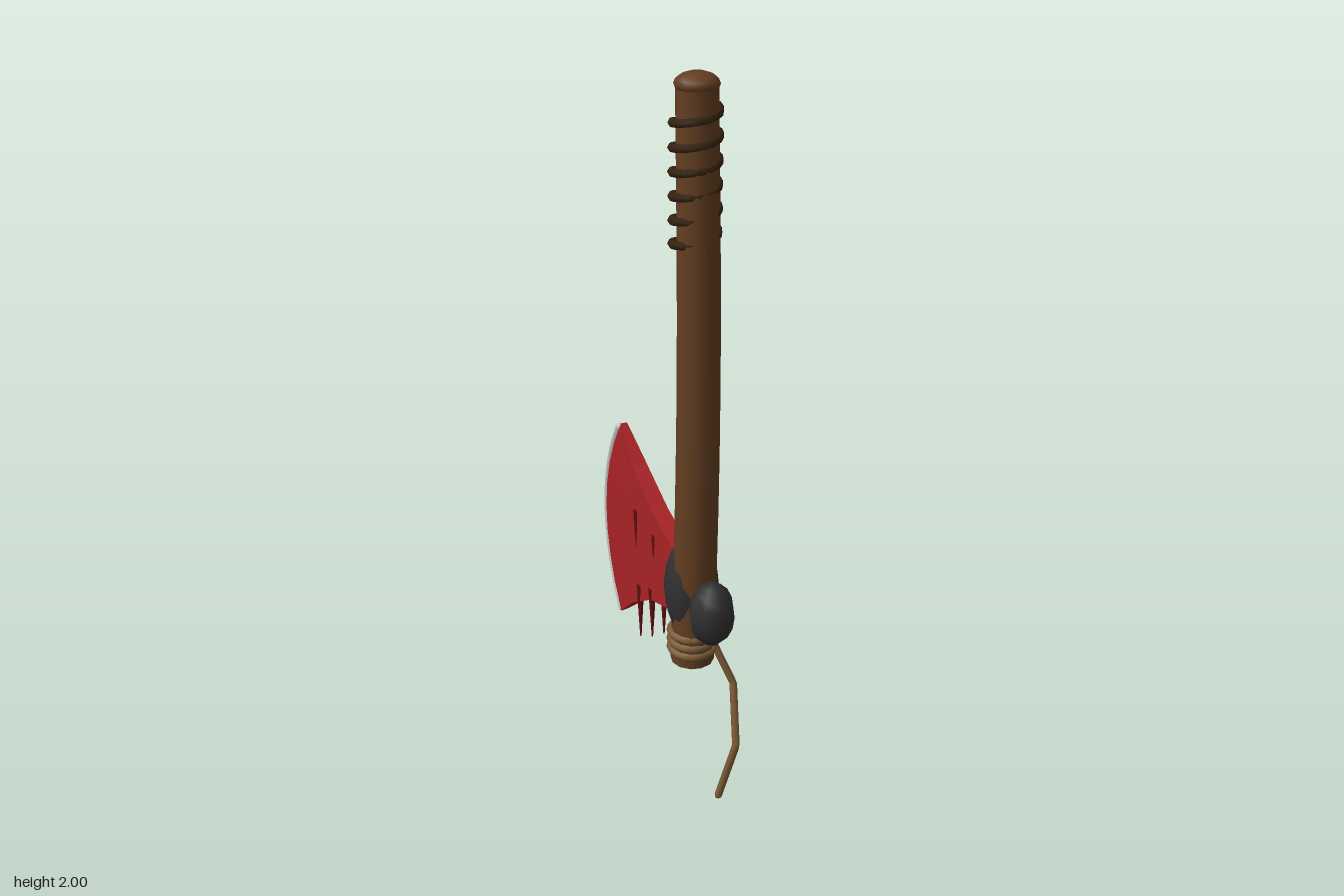
import * as THREE from 'three';

const CX = -0.022; // shared centre line of the axe
const mat = (name, color) => Object.assign(new THREE.MeshStandardMaterial({ color }), { name });

export function createModel() {
  const axe = new THREE.Group();
  axe.name = 'axe';
  const wood = mat('wood', 0x633e21);
  const cord = mat('dark cord', 0x35230f);
  const iron = mat('dark iron', 0x303032);
  const red = mat('red paint', 0xa82226);
  const drip = mat('dark red', 0x640d10);
  const steel = mat('steel', 0xc4c2be);
  const rope = mat('rope', 0x7d5b36);

  const add = (name, geo, material, x = 0, y = 0, z = 0) => {
    const m = new THREE.Mesh(geo, material);
    m.name = name;
    m.position.set(x, y, z);
    axe.add(m);
    return m;
  };
  const ball = (name, material, sides, pos, size) =>
    add(name, new THREE.SphereGeometry(1, sides, 8), material, ...pos).scale.set(...size);
  // Tube along a curve, with its two ends closed by small balls
  const cable = (name, curve, segments, radius, sides, material) => {
    add(name, new THREE.TubeGeometry(curve, segments, radius, sides), material);
    for (const t of [0, 1]) {
      const p = curve.getPoint(t);
      ball(name + 'End', material, sides, [p.x, p.y, p.z], [radius, radius, radius]);
    }
  };

  // Handle: tapered cylinder bowed gently forward
  const handle = new THREE.CylinderGeometry(0.05, 0.058, 1.54, 12, 14);
  const hp = handle.attributes.position;
  for (let i = 0; i < hp.count; i++) {
    const t = hp.getY(i) / 1.54 + 0.5;
    hp.setZ(i, hp.getZ(i) + 0.022 * Math.sin(Math.PI * t));
  }
  add('handle', handle, wood, CX, 1.2, 0.2);
  ball('handleKnob', wood, 12, [CX, 1.972, 0.2], [0.054, 0.028, 0.054]);

  // Grip cord: six turns winding down the top of the handle
  const turns = [];
  for (let i = 0; i <= 72; i++) {
    const a = (i / 12) * Math.PI * 2;
    turns.push(new THREE.Vector3(
      CX + 0.055 * Math.cos(a), 1.915 - 0.347 * (i / 72), 0.196 + 0.055 * Math.sin(a)));
  }
  cable('gripCord', new THREE.CatmullRomCurve3(turns), 100, 0.011, 6, cord);

  // Iron collar and hammer poll
  ball('collar', iron, 10, [CX, 0.645, 0.192], [0.074, 0.15, 0.074]);
  ball('poll', iron, 8, [CX, 0.63, 0.31], [0.062, 0.09, 0.06]);

  // Rope binding and its loose strand
  for (const y of [0.518, 0.492, 0.466]) {
    const ring = add('ropeRing', new THREE.TorusGeometry(0.056, 0.0125, 6, 16), rope, CX, y, 0.198);
    ring.rotation.x = Math.PI / 2;
  }
  const knots = [[0.035, 0.475, 0.195], [0.083, 0.34, 0.24], [0.062, 0.18, 0.302], [0.021, 0.012, 0.282]]
    .map((p) => new THREE.Vector3(...p));
  const strand = new THREE.CurvePath();
  for (let i = 0; i < 3; i++) strand.add(new THREE.LineCurve3(knots[i], knots[i + 1]));
  cable('looseStrand', strand, 36, 0.0105, 6, rope);

  add('blade', bladeGeometry(), red, CX);

  // Steel cutting edge
  const edge = [];
  for (let i = 0; i <= 8; i++) {
    const v = i / 4 - 1;
    edge.push(new THREE.Vector3(CX, 0.62 + 0.295 * v, -0.355 + 0.092 * v * v));
  }
  cable('cuttingEdge', new THREE.CatmullRomCurve3(edge), 24, 0.0115, 8, steel);

  // Drips on both cheeks: z, top y, bottom y
  for (const [z, top, bottom] of [
    [0.007, 0.71, 0.58], [-0.11, 0.73, 0.57], [-0.014, 0.53, 0.375], [-0.092, 0.5, 0.33]]) {
    for (const s of [-1, 1]) {
      add('drip', new THREE.CylinderGeometry(0.011, 0.002, top - bottom, 6), drip,
        CX + s * 0.018, (top + bottom) / 2, z);
    }
  }
  return axe;
}

// Flared blade: curved columns from the collar out to the cutting edge
function bladeGeometry() {
  // top z, top y, bottom z, bottom y, bulge toward the edge, half thickness
  const columns = [
    [0.16, 0.72, 0.16, 0.55, 0, 0.024],
    [0.0, 0.78, -0.01, 0.498, 0, 0.0235],
    [-0.135, 0.86, -0.14, 0.415, 0.02, 0.021],
    [-0.232, 0.94, -0.25, 0.323, 0.105, 0.009],
  ];
  const rows = 8;
  const point = (c, r, s) => {
    const [tz, ty, bz, by, bulge, half] = columns[c];
    const t = r / rows, v = 2 * t - 1;
    return [s * half, by + (ty - by) * t, bz + (tz - bz) * t - bulge * (1 - v * v)];
  };
  const pos = [];
  const quad = (a, b, c, d) => pos.push(...a, ...b, ...c, ...a, ...c, ...d);
  const last = columns.length - 1;
  for (let c = 0; c < last; c++) {
    for (let r = 0; r < rows; r++) {
      quad(point(c, r, 1), point(c + 1, r, 1), point(c + 1, r + 1, 1), point(c, r + 1, 1));
      quad(point(c, r, -1), point(c, r + 1, -1), point(c + 1, r + 1, -1), point(c + 1, r, -1));
    }
    // Upper and lower rims
    quad(point(c, rows, 1), point(c + 1, rows, 1), point(c + 1, rows, -1), point(c, rows, -1));
    quad(point(c, 0, 1), point(c, 0, -1), point(c + 1, 0, -1), point(c + 1, 0, 1));
  }
  // Narrow outer and inner ends
  for (let r = 0; r < rows; r++) {
    quad(point(last, r, 1), point(last, r, -1), point(last, r + 1, -1), point(last, r + 1, 1));
    quad(point(0, r, 1), point(0, r + 1, 1), point(0, r + 1, -1), point(0, r, -1));
  }
  const geo = new THREE.BufferGeometry();
  geo.setAttribute('position', new THREE.Float32BufferAttribute(pos, 3));
  geo.computeVertexNormals();
  return geo;
}
